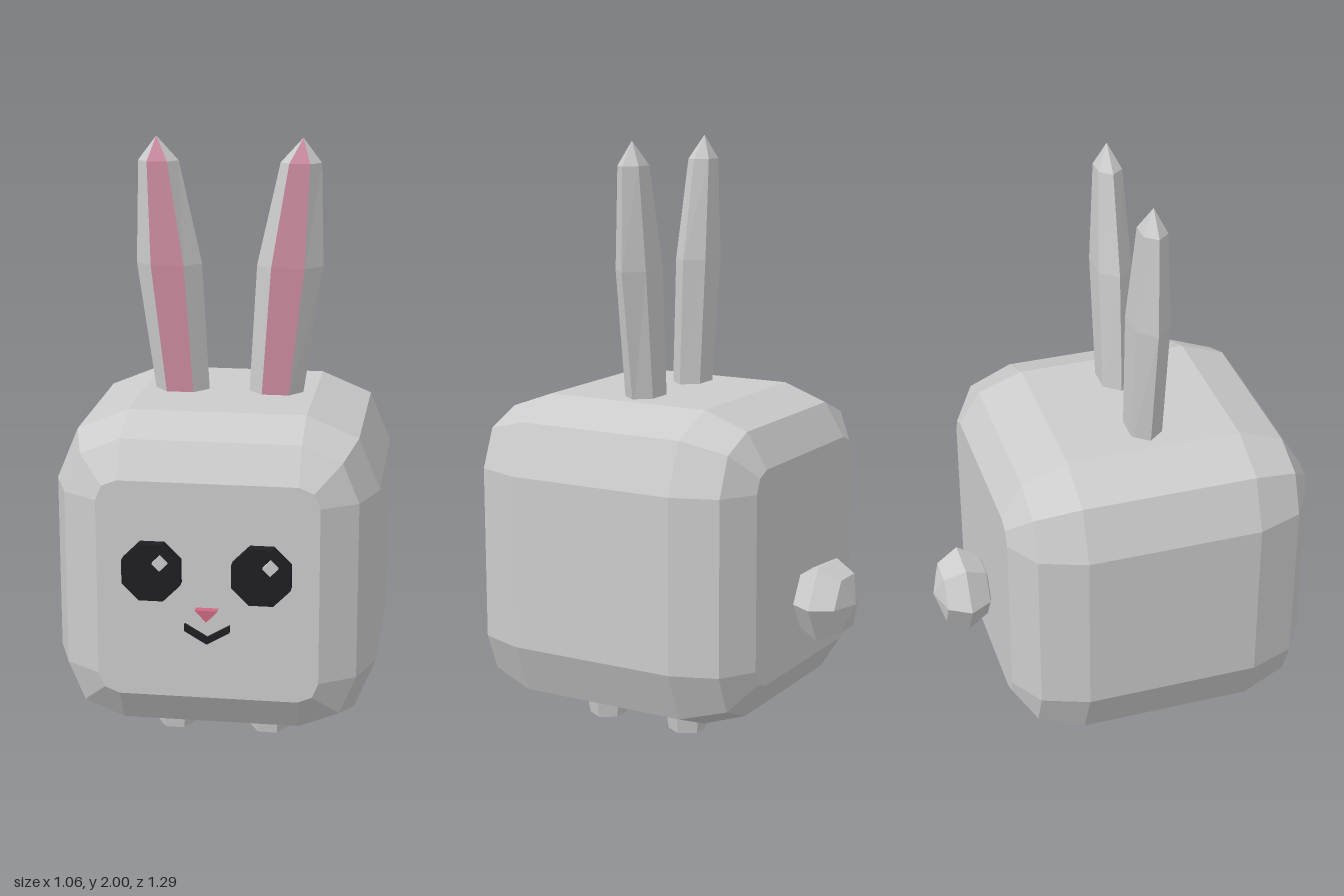
import * as THREE from 'three';

const mat = (color) => new THREE.MeshStandardMaterial({ color, flatShading: true });
const grey = mat(0xcccccc), black = mat(0x1f1f24), earPink = mat(0xcc8ca0), nosePink = mat(0xcc6a80);

// Joins rings of points with flat faces; `keep` picks the columns, `caps` closes the ends.
function loft(rings, keep = () => true, caps = true) {
  const pos = [];
  const tri = (a, b, c) => {
    const n = new THREE.Vector3().crossVectors(b.clone().sub(a), c.clone().sub(a));
    if (n.length() > 1e-9) for (const p of [a, b, c]) pos.push(p.x, p.y, p.z);
  };
  const n = rings[0].length;
  for (let i = 0; i < rings.length - 1; i++) {
    for (let j = 0; j < n; j++) {
      if (!keep(j)) continue;
      const k = (j + 1) % n, lo = rings[i], hi = rings[i + 1];
      tri(lo[j], lo[k], hi[k]);
      tri(lo[j], hi[k], hi[j]);
    }
  }
  if (caps) {
    const first = rings[0], last = rings[rings.length - 1];
    for (let j = 1; j < n - 1; j++) {
      tri(first[0], first[j + 1], first[j]);
      tri(last[0], last[j], last[j + 1]);
    }
  }
  const geo = new THREE.BufferGeometry();
  geo.setAttribute('position', new THREE.Float32BufferAttribute(pos, 3));
  geo.computeVertexNormals();
  return geo;
}

// Outline of the body at depth z: a rectangle whose corners are cut in two steps of radius r.
function bodyRing(z, r) {
  const ring = [];
  for (let corner = 0; corner < 4; corner++) {
    const mid = (corner + 0.5) * Math.PI / 2;
    const cx = 0.29 * Math.sign(Math.cos(mid)), cy = 0.617 + 0.294 * Math.sign(Math.sin(mid));
    for (let k = 0; k < 3; k++) {
      const a = corner * Math.PI / 2 + k * Math.PI / 4;
      ring.push(new THREE.Vector3(cx + r * Math.cos(a), cy + r * Math.sin(a), z));
    }
  }
  return ring;
}

// Hexagonal ear section; xs = outline and front-face corners from -x to +x, d = half depth.
function earRing(y, xs, d) {
  const z = 0.067;
  return [
    [xs[1], z + d], [xs[2], z + d], [xs[3], z],
    [xs[2], z - d], [xs[1], z - d], [xs[0], z],
  ].map(([x, pz]) => new THREE.Vector3(x, y, pz));
}

function polygon(points) {
  return new THREE.Shape(points.map(([x, y]) => new THREE.Vector2(x, y)));
}

function regular(n, r, turn) {
  return polygon(Array.from({ length: n }, (_, i) => {
    const a = turn + (i / n) * Math.PI * 2;
    return [r * Math.cos(a), r * Math.sin(a)];
  }));
}

export function createModel() {
  const group = new THREE.Group();
  const add = (name, geo, material, x = 0, y = 0, z = 0) => {
    const mesh = new THREE.Mesh(geo, material);
    mesh.name = name;
    mesh.position.set(x, y, z);
    group.add(mesh);
    return mesh;
  };
  const slab = (name, shape, material, x, y, z0, z1) =>
    add(name, new THREE.ExtrudeGeometry(shape, { depth: z1 - z0, bevelEnabled: false }), material, x, y, z0);

  // Body: boxy, with double-chamfered edges
  add('body', loft([
    [-0.457, 0.068], [-0.385, 0.184], [-0.23, 0.24],
    [0.362, 0.24], [0.516, 0.184], [0.59, 0.068],
  ].map(([z, r]) => bodyRing(z, r))), grey);

  // Ears: tapered hexagonal prisms with a pink front face
  const earSections = [
    [1.1, [0.065, 0.112, 0.2, 0.243], 0.053],
    [1.58, [0.092, 0.145, 0.255, 0.312], 0.058],
    [1.92, [0.168, 0.2, 0.268, 0.303], 0.04],
    [2.0, [0.242, 0.242, 0.242, 0.242], 0],
  ];
  for (const s of [1, -1]) {
    const side = s > 0 ? 'left' : 'right';
    const rings = earSections.map(([y, xs, d]) =>
      earRing(y, s > 0 ? xs : xs.map((x) => -x).reverse(), d));
    add(side + 'Ear', loft(rings, (j) => j !== 0), grey);
    add(side + 'InnerEar', loft(rings, (j) => j === 0, false), earPink);

    // Eyes with a small diamond highlight
    slab(side + 'Eye', regular(8, 0.102, Math.PI / 8), black, 0.176 * s, 0.688, 0.57, 0.626);
    slab(side + 'EyeHighlight', regular(4, 0.025, 0), grey, 0.176 * s + 0.031, 0.725, 0.6, 0.643);

    // Feet: short hexagonal stubs
    for (const [end, z] of [['Front', 0.227], ['Back', -0.092]]) {
      const foot = new THREE.CylinderGeometry(0.081, 0.064, 0.11, 6);
      foot.rotateY(Math.PI / 2);
      add(side + end + 'Foot', foot, grey, 0.16 * s, 0.055, z);
    }
  }

  // Nose and mouth
  slab('nose', polygon([[-0.037, 0.565], [0, 0.525], [0.037, 0.565]]), nosePink, 0, 0, 0.57, 0.617);
  slab('mouth', polygon([
    [-0.073, 0.511], [-0.073, 0.489], [0, 0.446], [0.073, 0.489], [0.073, 0.511], [0, 0.468],
  ]), black, 0, 0, 0.57, 0.607);

  // Tail: faceted ball with its pole pointing back
  const tail = new THREE.SphereGeometry(0.147, 6, 4);
  tail.rotateX(-Math.PI / 2);
  tail.scale(1, 1, 0.72);
  add('tail', tail, grey, 0, 0.483, -0.539);

  return group;
}
